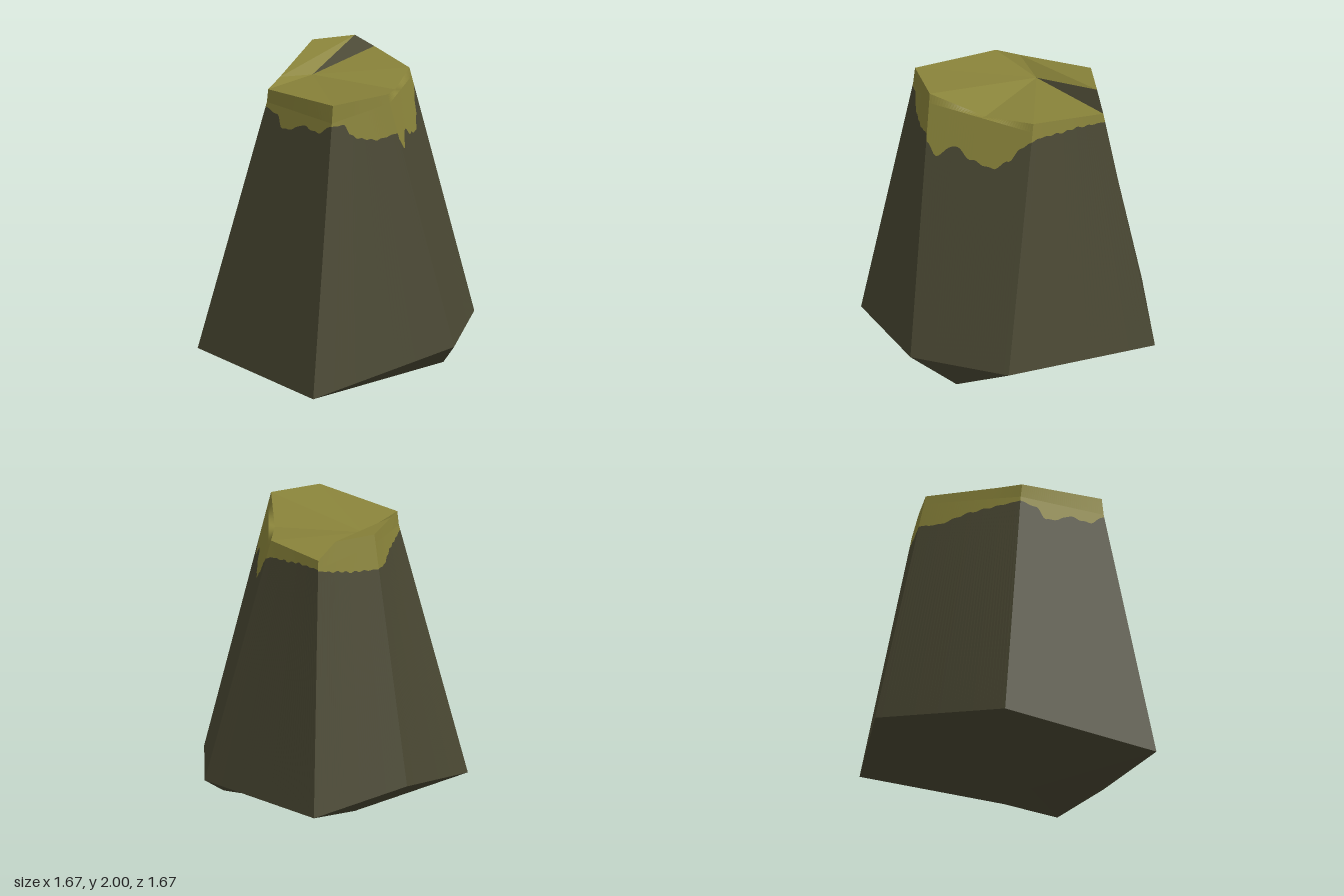
import * as THREE from 'three';

const rock = new THREE.MeshStandardMaterial({ color: 0x4a4833, side: THREE.DoubleSide });
rock.name = 'dark rock';
const moss = new THREE.MeshStandardMaterial({ color: 0x89833a, side: THREE.DoubleSide });
moss.name = 'olive moss';

const v = (x, y, z) => new THREE.Vector3(x, y, z);
const mix = (a, b, t) => a.clone().lerp(b, t);

// Corners run anticlockwise seen from above, starting at the model's -x side:
// base = widest corner, rim = where the moss cap starts, top = upper corner
const corners = [
  { base: v(-0.84, 0.22, -0.17), rim: v(-0.45, 1.83, -0.01), top: v(-0.445, 1.915, 0) },
  { base: v(-0.42, 0.2, 0.83), rim: v(-0.21, 1.86, 0.54), top: v(-0.2, 1.97, 0.53) },
  { base: v(0.53, 0.37, 0.66), top: v(0.16, 1.99, 0.49) },
  { base: v(0.835, 0.37, 0.1), top: v(0.485, 1.915, -0.1) },
  { base: v(0.59, 0.37, -0.83), top: v(0.4, 1.905, -0.54) },
  { base: v(-0.05, 0.47, -0.84), top: v(0, 2, -0.52) },
];
for (const c of corners) c.rim ??= mix(c.base, c.top, 0.965);

// Extra points along the broken top
const notch = v(0.31, 1.89, 0.17);
const fold = v(-0.1, 1.9, -0.2);
const peak = v(0.27, 2, -0.52);
const ledge = v(-0.33, 1.935, -0.13);

// Per side: lower moss edge as [u, y], and an optional point breaking the top edge
const sides = [
  { drip: [[0, 1.8], [0.2, 1.78], [0.3, 1.71], [0.43, 1.73], [0.57, 1.78], [0.8, 1.77], [1, 1.84]] },
  { drip: [[0, 1.84], [0.22, 1.84], [0.32, 1.77], [0.47, 1.74], [0.7, 1.72], [1, 1.74]] },
  { drip: [[0, 1.7], [0.1, 1.62], [0.27, 1.7], [0.45, 1.63], [0.65, 1.6], [0.8, 1.66], [0.9, 1.75], [1, 1.8]], stop: [0.5, notch] },
  { drip: [[0, 1.8], [0.1, 1.82], [0.4, 1.83], [0.6, 1.845], [1, 1.85]] },
  { drip: [[0, 1.84], [0.3, 1.82], [0.6, 1.8], [1, 1.79]], stop: [0.3, peak] },
  { drip: [[0, 1.79], [0.2, 1.77], [0.5, 1.8], [0.75, 1.8], [1, 1.8]], stop: [0.7, ledge] },
];

// Height of the moss edge, eased between its points, with a little ripple
function dripAt(drip, u) {
  let i = 0;
  while (i < drip.length - 2 && u > drip[i + 1][0]) i++;
  const [u0, y0] = drip[i], [u1, y1] = drip[i + 1];
  const t = THREE.MathUtils.smoothstep(u, u0, u1);
  return y0 + (y1 - y0) * t + 0.006 * Math.sin(u * 43) * Math.sin(u * Math.PI);
}

function topAt(a, b, stop, u) {
  if (!stop) return mix(a, b, u);
  const [s, p] = stop;
  return u < s ? mix(a, p, u / s) : mix(p, b, (u - s) / (1 - s));
}

// Flat-faced mesh from a list of corner triples
function facets(name, points, material) {
  const geometry = new THREE.BufferGeometry().setFromPoints(points);
  geometry.computeVertexNormals();
  const mesh = new THREE.Mesh(geometry, material);
  mesh.name = name;
  return mesh;
}

// Triangles between two rows of points, lower row first
function strip(low, high) {
  const out = [];
  for (let i = 0; i < low.length - 1; i++) {
    out.push(low[i], low[i + 1], high[i + 1], low[i], high[i + 1], high[i]);
  }
  return out;
}

const fan = (...p) => p.slice(2).flatMap((q, i) => [p[0], p[i + 1], q]);

export function createModel() {
  const group = new THREE.Group();
  group.name = 'mossyRock';
  const steps = 40;

  // Six sloping sides, each split into bare rock and moss
  sides.forEach(({ drip, stop }, i) => {
    const a = corners[i], b = corners[(i + 1) % 6];
    const base = [], edge = [], rim = [], top = [];
    for (let k = 0; k <= steps; k++) {
      const u = k / steps;
      const p = mix(a.base, b.base, u), r = mix(a.rim, b.rim, u);
      base.push(p);
      edge.push(mix(p, r, Math.min(1, (dripAt(drip, u) - p.y) / (r.y - p.y))));
      rim.push(r);
      top.push(topAt(a.top, b.top, stop, u));
    }
    group.add(facets('rockSide' + (i + 1), strip(base, edge), rock));
    group.add(facets('mossEdge' + (i + 1), [...strip(edge, rim), ...strip(rim, top)], moss));
  });

  // Faceted underside meeting at a low point
  const [F, E, D, C, B, A] = corners.map((c) => c.base);
  const foot = v(-0.2, 0, 0.09), heel = v(0.55, 0.17, 0.38);
  group.add(facets('underside', [
    ...fan(E, foot, heel, D), ...fan(D, heel, C), ...fan(C, heel, foot, B),
    ...fan(B, foot, A), ...fan(A, foot, F), ...fan(F, foot, E),
  ], rock));

  // Broken top: folded front slab, raised back wedge and the step between them
  const [f, e, d, c, b, a] = corners.map((k) => k.top);
  group.add(facets('frontSlab', [...fan(fold, f, e, d, notch), ...fan(fold, notch, c, b)], moss));
  group.add(facets('backWedge', fan(a, ledge, peak), moss));
  group.add(facets('step', [...fan(ledge, f, fold), ...fan(ledge, fold, peak)], moss));
  group.add(facets('bareCrack', fan(peak, fold, b), rock));

  return group;
}
